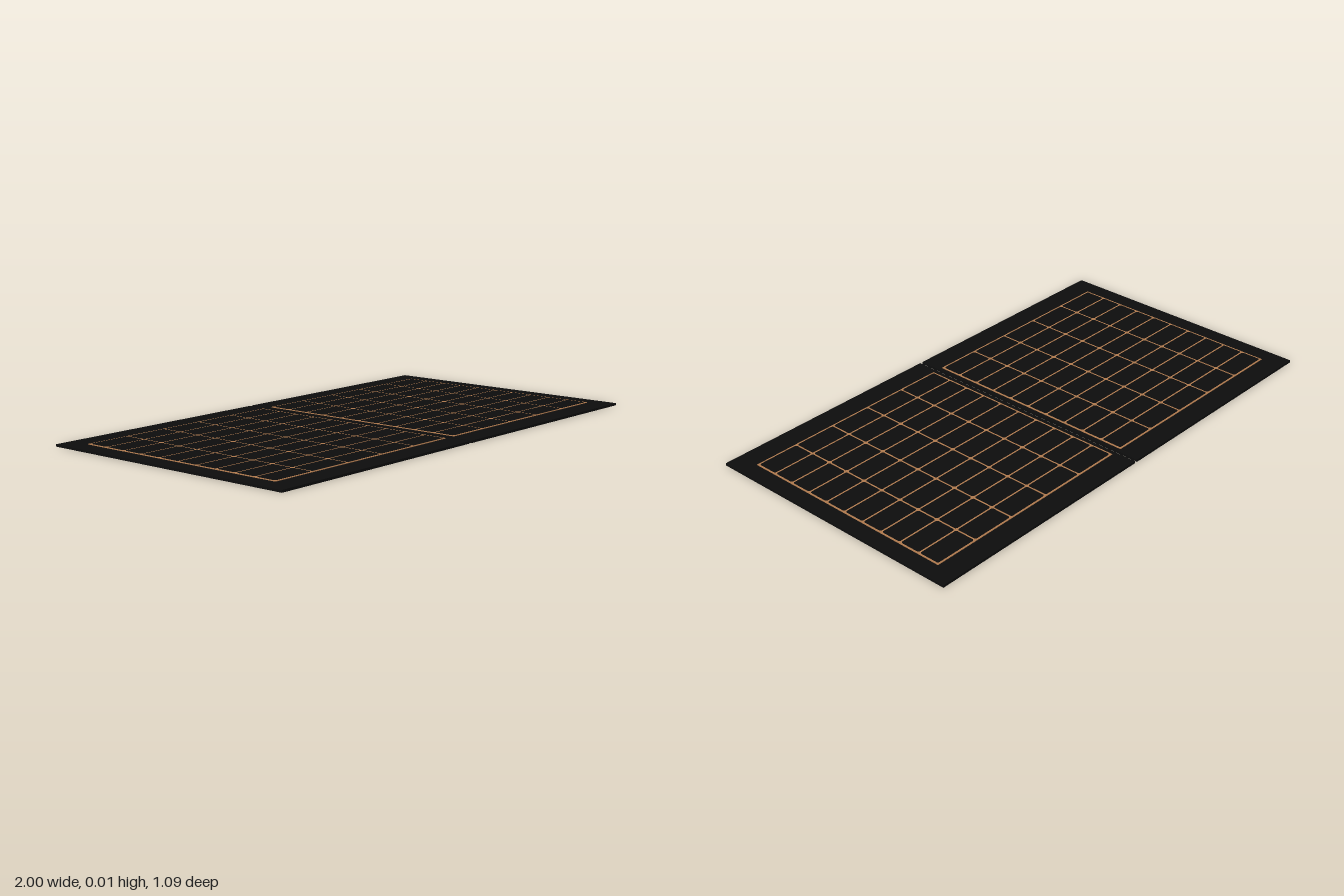
import * as THREE from 'three';

const COLS = 5, ROWS = 10;
const PITCH_X = 0.18, PITCH_Z = 0.0904; // cell spacing
const LINE = 0.007;                     // visible copper line width
const CHAMFER = 0.005;                  // clipped cell corners

// Flat cell with clipped corners, lying in the xz plane
function cellGeometry() {
  const w = (PITCH_X - LINE) / 2, h = (PITCH_Z - LINE) / 2, c = CHAMFER;
  const points = [
    [-w + c, -h], [w - c, -h], [w, -h + c], [w, h - c],
    [w - c, h], [-w + c, h], [-w, h - c], [-w, -h + c],
  ].map(([x, y]) => new THREE.Vector2(x, y));
  const geometry = new THREE.ExtrudeGeometry(new THREE.Shape(points), { depth: 0.001, bevelEnabled: false });
  return geometry.rotateX(-Math.PI / 2);
}

export function createModel() {
  const black = new THREE.MeshStandardMaterial({ name: 'panel black', color: 0x0d0d0d });
  const copper = new THREE.MeshStandardMaterial({ name: 'copper', color: 0xb07a4e });

  const model = new THREE.Group();
  model.name = 'foldingSolarPanel';
  const cellGeo = cellGeometry();

  for (const side of [1, -1]) {
    const half = new THREE.Group();
    half.name = side > 0 ? 'leftPanel' : 'rightPanel';

    // Backing board, leaving a narrow fold gap at the centre
    const board = new THREE.Mesh(new THREE.BoxGeometry(0.994, 0.009, 1.094), black);
    board.name = 'backingBoard';
    board.position.set(side * 0.503, 0.0045, 0);
    half.add(board);

    // Copper sheet that shows between the cells as a grid
    const centreX = side > 0 ? 0.479 : -0.476, centreZ = -0.002;
    const sheet = new THREE.Mesh(
      new THREE.BoxGeometry(COLS * PITCH_X + LINE, 0.002, ROWS * PITCH_Z + LINE), copper);
    sheet.name = 'copperGrid';
    sheet.position.set(centreX, 0.01, centreZ);
    half.add(sheet);

    // Solar cells
    for (let i = 0; i < COLS; i++) {
      for (let j = 0; j < ROWS; j++) {
        const cell = new THREE.Mesh(cellGeo, black);
        cell.name = 'solarCell';
        cell.position.set(
          centreX + (i - (COLS - 1) / 2) * PITCH_X, 0.0106,
          centreZ + (j - (ROWS - 1) / 2) * PITCH_Z);
        half.add(cell);
      }
    }
    model.add(half);
  }
  return model;
}
